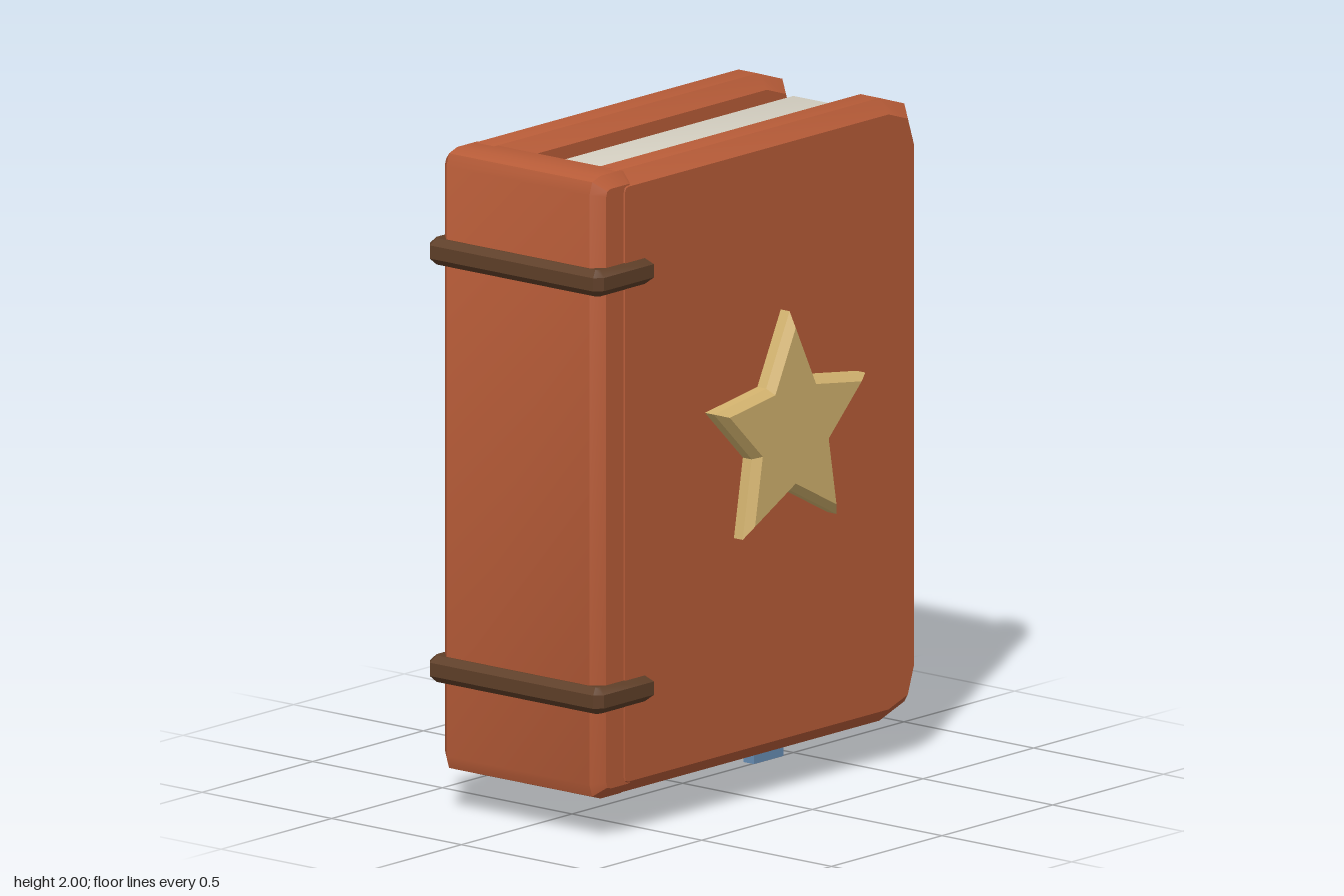
import * as THREE from 'three';
import { toCreasedNormals } from 'three/addons/utils/BufferGeometryUtils.js';

const material = (name, color) => new THREE.MeshStandardMaterial({ name, color });

// Extrudes a shape along z from z0 to z1 with chamfered rims
function chamfered(shape, z0, z1, bevel) {
  const geo = new THREE.ExtrudeGeometry(shape, {
    depth: z1 - z0 - 2 * bevel, curveSegments: 2, bevelEnabled: true, bevelSegments: 1,
    bevelSize: bevel, bevelThickness: bevel, bevelOffset: -bevel,
  });
  geo.translate(0, 0, z0 + bevel);
  return toCreasedNormals(geo, 0.6);
}

// Rectangle whose left and right corners are cut by different radii
function plate(x0, x1, y0, y1, rl, rr) {
  const s = new THREE.Shape();
  s.moveTo(x0 + rl, y0);
  s.lineTo(x1 - rr, y0);
  s.quadraticCurveTo(x1, y0, x1, y0 + rr);
  s.lineTo(x1, y1 - rr);
  s.quadraticCurveTo(x1, y1, x1 - rr, y1);
  s.lineTo(x0 + rl, y1);
  s.quadraticCurveTo(x0, y1, x0, y1 - rl);
  s.lineTo(x0, y0 + rl);
  s.quadraticCurveTo(x0, y0, x0 + rl, y0);
  return s;
}

// Five-pointed star: a ten-sided tapering prism with every other edge pulled in
function starGeometry(outer, inner, depth, taper) {
  let geo = new THREE.CylinderGeometry(outer, outer, depth, 10, 2, false, Math.PI);
  geo.rotateX(Math.PI / 2);
  const p = geo.attributes.position;
  for (let i = 0; i < p.count; i++) {
    const x = p.getX(i), y = p.getY(i), z = p.getZ(i);
    const step = Math.round(Math.atan2(x, y) / (Math.PI / 5));
    let k = step % 2 ? inner / outer : 1;
    if (z > depth * 0.4) k *= taper;
    const newZ = Math.abs(z) < 0.001 ? depth * 0.2 : z;
    p.setXYZ(i, x * k, y * k, newZ);
  }
  geo = geo.toNonIndexed();
  geo.computeVertexNormals();
  return geo;
}

export function createModel() {
  const book = new THREE.Group();
  book.name = 'book';
  const leather = material('leather', 0xb85c38);
  const paper = material('paper', 0xd6d1c3);
  const gold = material('gold', 0xd2b26e);
  const strap = material('darkStrap', 0x5f3f28);
  const cloth = material('blueCloth', 0x668cb3);
  const add = (name, geo, mat) => {
    const mesh = new THREE.Mesh(geo, mat);
    mesh.name = name;
    book.add(mesh);
    return mesh;
  };

  // Covers and spine
  const cover = plate(-0.65, 0.74, 0.12, 2, 0.05, 0.15);
  add('frontCover', chamfered(cover, 0.14, 0.297, 0.042), leather);
  add('backCover', chamfered(cover, -0.33, -0.173, 0.042), leather);
  add('spine', chamfered(plate(-0.725, -0.545, 0.12, 2, 0.05, 0.04), -0.328, 0.294, 0.035), leather);

  // Page block
  add('pages', chamfered(plate(-0.58, 0.71, 0.2, 1.92, 0.015, 0.015), -0.178, 0.145, 0.012), paper);

  // Bookmark ribbon hanging from the pages
  const ribbon = add('bookmark', new THREE.BoxGeometry(0.135, 0.3, 0.04), cloth);
  ribbon.position.set(0.383, 0.15, -0.015);

  // Star ornament on the front cover
  const star = add('starOrnament', starGeometry(0.36, 0.18, 0.08, 0.87), gold);
  star.position.set(0.095, 1.1, 0.315);

  // Straps wrapped around the spine: a C outline extruded upward
  const c = new THREE.Shape([
    [-0.5, -0.316], [-0.725, -0.316], [-0.75, -0.295], [-0.75, 0.335], [-0.725, 0.356], [-0.5, 0.356],
    [-0.5, 0.28], [-0.67, 0.28], [-0.67, -0.24], [-0.5, -0.24],
  ].reverse().map(([x, y]) => new THREE.Vector2(x, y)));
  for (const [name, y] of [['upperStrap', 1.69], ['lowerStrap', 0.43]]) {
    const band = add(name, chamfered(c, -0.04, 0.04, 0.02), strap);
    band.rotation.x = -Math.PI / 2;
    band.position.y = y;
  }
  return book;
}
